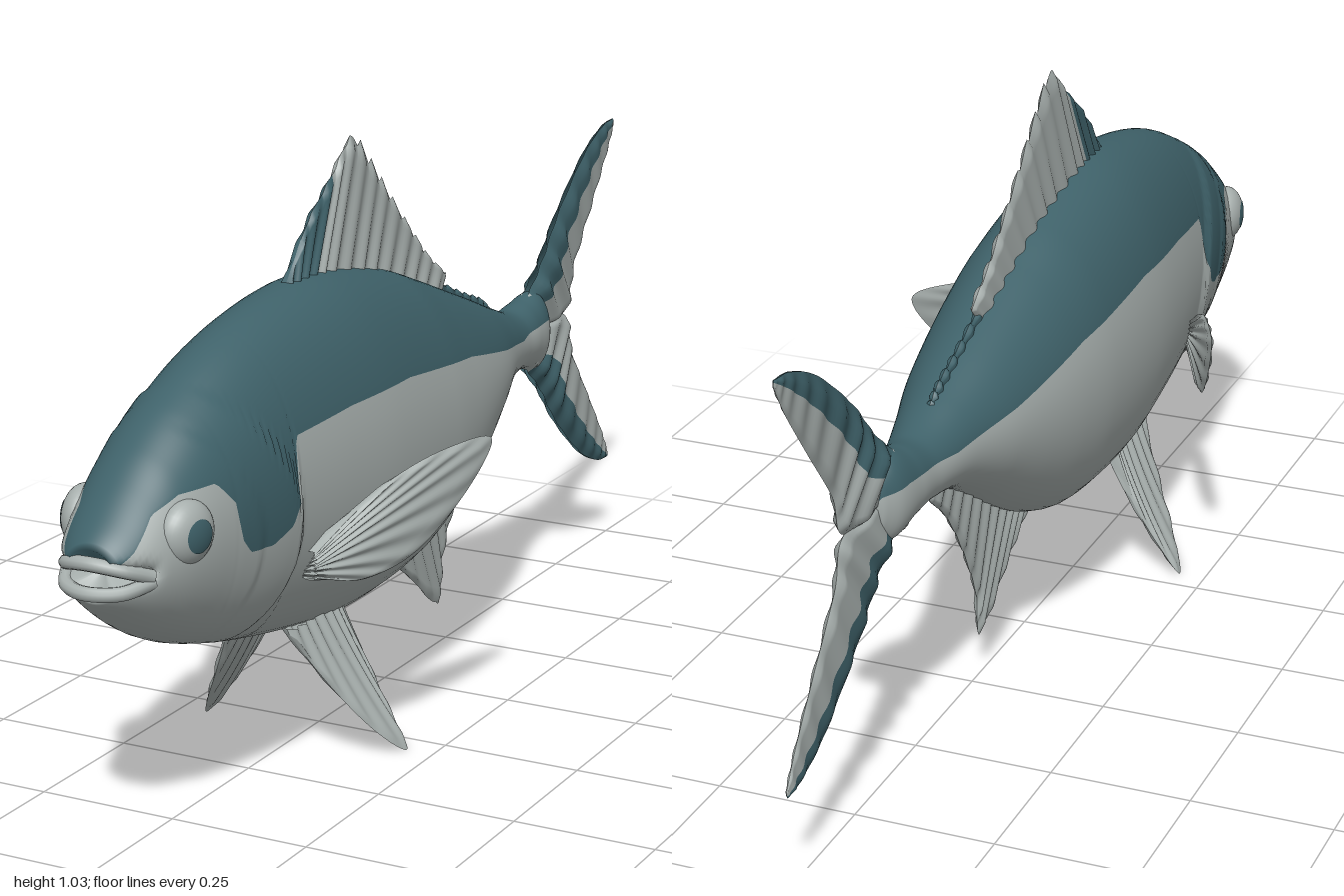
import * as THREE from 'three';

const make = (name, color) => {
  const m = new THREE.MeshStandardMaterial({ color, side: THREE.DoubleSide });
  m.name = name;
  return m;
};

// Smooth interpolation of table rows; the first column is the rising key
function spline(rows, t) {
  let i = 0;
  while (i < rows.length - 2 && t > rows[i + 1][0]) i++;
  const a = rows[i], b = rows[i + 1], p = rows[i - 1] || a, n = rows[i + 2] || b;
  const d = b[0] - a[0], s = THREE.MathUtils.clamp((t - a[0]) / d, 0, 1);
  return a.map((v, k) => {
    const m0 = (b[k] - p[k]) / (b[0] - p[0]) * d, m1 = (n[k] - v) / (n[0] - a[0]) * d;
    const s2 = s * s, s3 = s2 * s;
    return (2 * s3 - 3 * s2 + 1) * v + (s3 - 2 * s2 + s) * m0 + (3 * s2 - 2 * s3) * b[k] + (s3 - s2) * m1;
  });
}

function linear(rows, t) {
  let i = 0;
  while (i < rows.length - 2 && t > rows[i + 1][0]) i++;
  const [a, b] = [rows[i], rows[i + 1]];
  return THREE.MathUtils.mapLinear(THREE.MathUtils.clamp(t, a[0], b[0]), a[0], b[0], a[1], b[1]);
}

// Mesh from positions and one index list per material
function build(name, pos, lists, mats) {
  const g = new THREE.BufferGeometry();
  g.setAttribute('position', new THREE.Float32BufferAttribute(pos, 3));
  g.setIndex(lists.flat());
  let start = 0;
  lists.forEach((l, k) => { g.addGroup(start, l.length, k); start += l.length; });
  g.computeVertexNormals();
  const mesh = new THREE.Mesh(g, mats);
  mesh.name = name;
  return mesh;
}

// Body stations: z, top, bottom, half width
const BODY = [
  [-0.66, 0.56, 0.49, 0.012], [-0.62, 0.6, 0.447, 0.04], [-0.56, 0.592, 0.458, 0.05], [-0.5, 0.585, 0.463, 0.055],
  [-0.4, 0.617, 0.447, 0.078], [-0.29, 0.66, 0.39, 0.112], [-0.18, 0.702, 0.32, 0.138], [-0.08, 0.74, 0.265, 0.155],
  [0.035, 0.78, 0.225, 0.166], [0.25, 0.82, 0.21, 0.17], [0.41, 0.816, 0.228, 0.16], [0.6, 0.778, 0.265, 0.14],
  [0.757, 0.71, 0.31, 0.124], [0.84, 0.655, 0.345, 0.113], [0.89, 0.612, 0.375, 0.101], [0.93, 0.576, 0.405, 0.085],
  [0.965, 0.545, 0.434, 0.06], [0.985, 0.522, 0.458, 0.035],
];
// Height of the colour boundary along the flank
const SPLIT = [
  [-0.66, 0.54], [-0.6, 0.55], [-0.45, 0.545], [-0.29, 0.57], [-0.07, 0.612], [0.2, 0.64], [0.4, 0.638], [0.565, 0.625],
  [0.575, 0.53], [0.6, 0.485], [0.65, 0.465], [0.71, 0.47], [0.735, 0.5], [0.745, 0.56], [0.78, 0.6], [0.85, 0.597],
  [0.9, 0.575], [0.95, 0.525], [0.985, 0.5],
];

function body(mats) {
  const RINGS = 220, N = 32, pos = [], back = [], belly = [];
  const step = THREE.MathUtils.smoothstep;
  for (let i = 0; i <= RINGS; i++) {
    const z0 = 0.985 - 1.645 * i / RINGS;
    const [, top, bottom, width] = spline(BODY, z0);
    const yc = (top + bottom) / 2, h = (top - bottom) / 2;
    const split = Math.acos(THREE.MathUtils.clamp((linear(SPLIT, z0) - yc) / h, -0.95, 0.95));
    const end = i === 0 || i === RINGS ? 0 : 1;
    for (let j = 0; j < 2 * N; j++) {
      const a = j < N ? -split + 2 * split * j / N : split + (2 * Math.PI - 2 * split) * (j - N) / N;
      const y = yc + h * Math.cos(a) * end;
      // raised gill cover and cheek plate
      let swell = 1;
      for (const [edge, lift] of [[0.565, 0.07], [0.68, 0.03]]) {
        const e = edge + 2.2 * (y - 0.46) ** 2;
        swell += lift * step(z0, e - 0.01, e + 0.006) * (1 - step(z0, e + 0.03, e + 0.2));
      }
      // open mouth
      const notch = 0.05 * Math.exp(-(((y - 0.488) / 0.012) ** 2)) * step(z0, 0.9, 0.97);
      pos.push(width * Math.sin(a) * end * swell, y, z0 - notch);
      if (i < RINGS) {
        const j2 = (j + 1) % (2 * N), p = i * 2 * N + j, q = i * 2 * N + j2;
        (j < N ? back : belly).push(p, q, p + 2 * N, q, q + 2 * N, p + 2 * N);
      }
    }
  }
  return build('body', pos, [back, belly], mats);
}

// Rayed fin between an inner and an outer edge; rows are [z, y, z, y].
function fin(name, rows, mats, { thick, rays = 10, dark = () => false, saw = 0, bend = () => 0 }) {
  const keyed = rows.map((r, i) => [i / (rows.length - 1), ...r]);
  const NU = rays * 8, NV = 12, pos = [], lists = [[], []], half = (NU + 1) * (NV + 1);
  for (const side of [1, -1]) {
    for (let i = 0; i <= NU; i++) {
      const u = i / NU, [, bz, by, oz, oy] = spline(keyed, u);
      const reach = 1 - saw * ((u * rays) % 1);
      for (let j = 0; j <= NV; j++) {
        const v = j / NV, z = bz + (oz - bz) * v * reach, y = by + (oy - by) * v * reach;
        const rim = i === 0 || i === NU || j === NV ? 0 : 1;
        const t = thick(u, v) * rim * (1 + 0.3 * Math.sin(2 * Math.PI * rays * u));
        pos.push(bend(z, y) + side * t, y, z);
        if (i < NU && j < NV) {
          const p = (side > 0 ? 0 : half) + i * (NV + 1) + j, q = p + NV + 1;
          const list = lists[dark((i + 0.5) / NU, (j + 0.5) / NV) ? 0 : 1];
          if (side > 0) list.push(p, p + 1, q, p + 1, q + 1, q);
          else list.push(p, q, p + 1, p + 1, q, q + 1);
        }
      }
    }
  }
  return build(name, pos, lists, mats);
}

export function createModel() {
  const teal = make('teal back', 0x3f626a), silver = make('silver flank', 0xa8b0ae);
  const mats = [teal, silver];
  const fish = new THREE.Group();
  fish.name = 'fish';
  fish.add(body(mats));

  // Fins along the middle
  fish.add(fin('dorsalFin', [
    [0.37, 0.8, 0.36, 0.815], [0.33, 0.8, 0.28, 0.912], [0.28, 0.8, 0.19, 0.982], [0.22, 0.8, 0.12, 1.035],
    [0.13, 0.78, 0.05, 0.98], [0.05, 0.76, -0.02, 0.908], [-0.04, 0.73, -0.1, 0.83], [-0.12, 0.7, -0.17, 0.765],
    [-0.2, 0.67, -0.245, 0.715],
  ], mats, { thick: (u, v) => 0.014 * (1 - 0.55 * v), rays: 14, saw: 0.07, dark: u => u < 0.25 }));
  fish.add(fin('backRidge', [
    [-0.2, 0.66, -0.21, 0.708], [-0.3, 0.62, -0.31, 0.666], [-0.38, 0.59, -0.39, 0.636], [-0.42, 0.57, -0.43, 0.605],
  ], mats, { thick: (u, v) => 0.01 * (1 - 0.5 * v), rays: 8, saw: 0.12, dark: () => true }));
  fish.add(fin('analFin', [
    [0, 0.25, 0, 0.235], [-0.05, 0.27, -0.1, 0.165], [-0.1, 0.31, -0.215, 0.08], [-0.18, 0.35, -0.23, 0.165],
    [-0.26, 0.4, -0.29, 0.28], [-0.34, 0.45, -0.36, 0.375], [-0.42, 0.48, -0.43, 0.435],
  ], mats, { thick: (u, v) => 0.013 * (1 - 0.5 * v), rays: 12, saw: 0.03 }));

  // Forked tail, with dark leading edges
  const lobe = [
    [-0.57, 0.585, -0.57, 0.523], [-0.65, 0.65, -0.765, 0.523], [-0.73, 0.735, -0.805, 0.605],
    [-0.85, 0.83, -0.89, 0.715], [-0.94, 0.872, -0.962, 0.81], [-0.995, 0.88, -0.998, 0.87],
  ];
  for (const up of [true, false]) {
    const rows = up ? lobe : lobe.map(([a, b, c, d]) => [a, 1.046 - b, c, 1.046 - d]);
    fish.add(fin(up ? 'upperTailLobe' : 'lowerTailLobe', rows, mats, {
      thick: (u, v) => (0.005 + 0.022 * (1 - u) ** 1.5) * Math.min(1, 0.2 + 4 * v) * (1.1 - 0.6 * v),
      rays: 9, dark: (u, v) => v < 0.42 && u > 0.05,
    }));
  }

  // Paired parts
  for (const s of [1, -1]) {
    const label = s > 0 ? 'left' : 'right';
    fish.add(fin(label + 'PectoralFin', [
      [0.53, 0.42, 0.49, 0.445], [0.53, 0.415, 0.36, 0.515], [0.53, 0.41, 0.25, 0.545], [0.53, 0.4, 0.17, 0.542],
      [0.53, 0.395, 0.22, 0.46], [0.53, 0.39, 0.32, 0.375], [0.53, 0.38, 0.42, 0.348], [0.53, 0.37, 0.5, 0.365],
    ], mats, { thick: (u, v) => 0.012 * (1 - 0.6 * v), rays: 10, bend: z => s * (0.15 + (0.5 - z) * 0.44) }));
    fish.add(fin(label + 'PelvicFin', [
      [0.46, 0.25, 0.46, 0.24], [0.42, 0.25, 0.405, 0.13], [0.38, 0.25, 0.35, 0.045], [0.34, 0.25, 0.297, 0.003],
      [0.31, 0.25, 0.285, 0.06], [0.295, 0.25, 0.28, 0.14], [0.29, 0.25, 0.285, 0.19],
    ], mats, {
      thick: (u, v) => 0.012 * (1 - 0.5 * v), rays: 8,
      bend: (z, y) => s * (0.055 + (0.25 - y) * 0.45 + (0.25 - y) ** 2 * 0.55),
    }));

    // Eye: flattened ball with a dark pupil cap
    const eye = new THREE.Group();
    eye.name = label + 'Eye';
    const ball = new THREE.Mesh(new THREE.SphereGeometry(0.054, 32, 20), silver);
    ball.name = 'eyeball';
    const pupil = new THREE.Mesh(new THREE.SphereGeometry(0.0555, 32, 8, 0, Math.PI * 2, 0, 0.52), teal);
    pupil.name = 'pupil';
    eye.add(ball, pupil);
    eye.scale.set(1, 0.65, 1);
    eye.rotation.set(0.25, 0, -s * Math.PI / 2, 'YXZ');
    eye.rotation.set(0, -s * 0.22, -s * Math.PI / 2, 'YXZ');
    eye.position.set(s * 0.093, 0.535, 0.845);
    fish.add(eye);
  }

  // Lips
  const lips = { upperLip: [0.482, 0.92, 0.5, 0.962, 0.508, 0.978], lowerLip: [0.474, 0.918, 0.464, 0.966, 0.463, 0.988] };
  for (const [name, [y0, z0, y1, z1, y2, z2]] of Object.entries(lips)) {
    const path = new THREE.CatmullRomCurve3([
      [-0.078, y0, z0], [-0.05, y1, z1], [0, y2, z2], [0.05, y1, z1], [0.078, y0, z0],
    ].map(p => new THREE.Vector3(...p)));
    const lip = new THREE.Mesh(new THREE.TubeGeometry(path, 32, 0.012, 10), silver);
    lip.name = name;
    fish.add(lip);
  }
  return fish;
}
